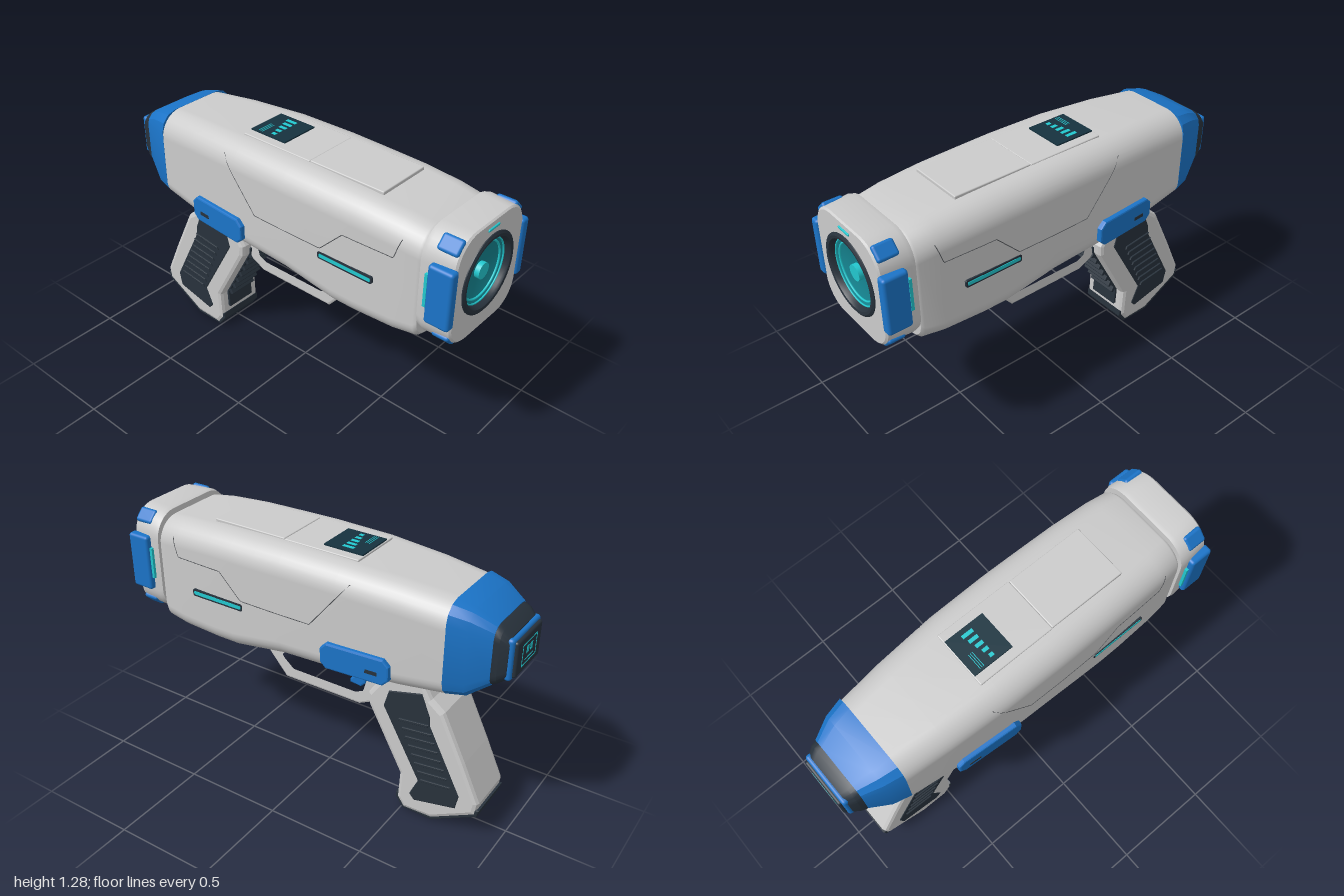
import * as THREE from 'three';
import { toCreasedNormals } from 'three/addons/utils/BufferGeometryUtils.js';
import { RoundedBoxGeometry } from 'three/addons/geometries/RoundedBoxGeometry.js';

const mat = (color) => new THREE.MeshStandardMaterial({ color });
const GREY = mat(0xcccccc), BLUE = mat(0x1b74c8), DARK = mat(0x28323c), TEAL = mat(0x22c8cf);
const DEEP_TEAL = mat(0x15838f), LINE = mat(0x55585c), GLASS = mat(0x16323f);
const V2 = (p) => new THREE.Vector2(p[0], p[1]);

// Body sections, front to back: z, half width, bottom, top
const BODY = [
  [0.825, 0.243, 0.702, 1.222], [0.81, 0.252, 0.688, 1.232], [0.7, 0.262, 0.675, 1.245],
  [0.5, 0.27, 0.67, 1.256], [0.38, 0.272, 0.672, 1.258], [0.24, 0.274, 0.695, 1.26], [0.1, 0.275, 0.718, 1.262],
  [-0.2, 0.27, 0.73, 1.26], [-0.5, 0.25, 0.748, 1.245], [-0.72, 0.228, 0.77, 1.225],
];
const BODY_RT = 0.12, BODY_RB = 0.09;

// Rounded rectangle, counter-clockwise seen from the front
function section([, w, b, t], rt, rb, n) {
  const pts = [];
  [[1, 0, rb, -90], [1, 1, rt, 0], [-1, 1, rt, 90], [-1, 0, rb, 180]].forEach(([s, up, r, deg]) => {
    for (let i = 0; i <= n; i++) {
      const a = THREE.MathUtils.degToRad(deg + (90 * i) / n);
      pts.push([s * (w - r) + r * Math.cos(a), (up ? t - r : b + r) + r * Math.sin(a)]);
    }
  });
  return pts;
}

// Skin over sections from front to back, with caps; holeR opens the front cap
function loft(name, secs, rt, rb, n, material, crease, holeR = 0) {
  const g = new THREE.Group();
  g.name = name;
  const rings = secs.map((s) => section(s, s[4] ?? rt, s[4] ?? rb, n));
  const m = rings[0].length, pos = [], idx = [];
  rings.forEach((r, i) => r.forEach(([x, y]) => pos.push(x, y, secs[i][0])));
  for (let i = 0; i < rings.length - 1; i++)
    for (let j = 0; j < m; j++) {
      const a = i * m + j, b = i * m + (j + 1) % m;
      idx.push(a, a + m, b, b, a + m, b + m);
    }
  let geo = new THREE.BufferGeometry();
  geo.setAttribute('position', new THREE.Float32BufferAttribute(pos, 3));
  geo.setIndex(idx);
  geo.computeVertexNormals();
  if (crease) geo = toCreasedNormals(geo, crease);
  add(g, name + 'Shell', geo, material);
  const front = new THREE.Shape(rings[0].map(V2));
  if (holeR) front.holes.push(new THREE.Path().absarc(0, 0.997, holeR, 0, Math.PI * 2, true));
  add(g, name + 'FrontFace', new THREE.ShapeGeometry(front, 32), material, 0, 0, secs[0][0]);
  const back = new THREE.ShapeGeometry(new THREE.Shape(rings.at(-1).map(([x, y]) => V2([-x, y]))));
  add(g, name + 'BackFace', back.rotateY(Math.PI), material, 0, 0, secs.at(-1)[0]);
  return g;
}

function add(parent, name, geo, material, x = 0, y = 0, z = 0) {
  const mesh = new THREE.Mesh(geo, material);
  mesh.name = name;
  mesh.position.set(x, y, z);
  parent.add(mesh);
  return mesh;
}

// Side-profile plate: points are [z, y], thickness runs along x
function plate(pts, width, bevel = 0, hole) {
  const shape = new THREE.Shape(pts.map(V2));
  if (hole) shape.holes.push(new THREE.Path(hole.map(V2)));
  const depth = width - 2 * bevel;
  return new THREE.ExtrudeGeometry(shape, {
    depth, bevelEnabled: bevel > 0, bevelSize: bevel, bevelThickness: bevel, bevelOffset: -bevel, bevelSegments: 2,
  }).translate(0, 0, -depth / 2).rotateY(-Math.PI / 2);
}
const chamfered = (z0, z1, y0, y1, c) => [[z0 + c, y0], [z1 - c, y0], [z1, y0 + c], [z1, y1 - c],
  [z1 - c, y1], [z0 + c, y1], [z0, y1 - c], [z0, y0 + c]];
const box = (x, y, z) => new THREE.BoxGeometry(x, y, z);
const rbox = (x, y, z, r) => new RoundedBoxGeometry(x, y, z, 3, r);
const lerp = THREE.MathUtils.lerp;

// Half width of the body surface at height y and depth z
function bodyX(y, z) {
  const i = Math.max(1, BODY.findIndex((s) => s[0] <= z));
  const a = BODY[i - 1], b = BODY[i], k = (a[0] - z) / (a[0] - b[0]);
  const d = Math.max(0, y - (lerp(a[3], b[3], k) - BODY_RT));
  return lerp(a[1], b[1], k) - BODY_RT + Math.sqrt(BODY_RT ** 2 - d * d);
}

export function createModel() {
  const model = new THREE.Group();
  model.name = 'toyBlaster';

  // Main shell, front collar and tapered rear
  model.add(loft('body', BODY, BODY_RT, BODY_RB, 8, GREY));
  model.add(loft('frontCollar', [[0.988, 0.238, 0.728, 1.248], [0.98, 0.246, 0.722, 1.254],
    [0.85, 0.26, 0.728, 1.256], [0.828, 0.257, 0.735, 1.25]], 0.13, 0.12, 8, GREY, 0.6, 0.185));
  model.add(loft('rearShell', [[-0.72, 0.229, 0.769, 1.226, 0.09], [-0.81, 0.208, 0.785, 1.206, 0.08],
    [-0.905, 0.165, 0.858, 1.153, 0.06]], 0.08, 0.08, 3, BLUE, 0.4));
  model.add(loft('rearBezel', [[-0.905, 0.164, 0.86, 1.15, 0.06], [-0.93, 0.16, 0.875, 1.138, 0.055],
    [-0.965, 0.142, 0.9, 1.11, 0.05]], 0.05, 0.05, 4, DARK, 0.4));

  // Muzzle lens
  const muzzle = new THREE.Group();
  muzzle.name = 'muzzle';
  muzzle.position.set(0, 0.997, 0);
  model.add(muzzle);
  const turned = (name, pts, m) => add(muzzle, name, toCreasedNormals(
    new THREE.LatheGeometry(pts.map(V2), 48).rotateX(Math.PI / 2), 0.6), m);
  turned('muzzleRing', [[0.155, 0.94], [0.157, 0.985], [0.165, 0.996], [0.178, 0.998], [0.189, 0.992], [0.192, 0.98]].reverse(), DARK);
  turned('lensBowl', [[0.156, 0.966], [0.145, 0.962], [0.12, 0.952], [0, 0.945]], DEEP_TEAL);
  add(muzzle, 'lensOuterRing', new THREE.TorusGeometry(0.152, 0.004, 8, 48), TEAL, 0, 0, 0.968);
  add(muzzle, 'lensInnerRing', new THREE.TorusGeometry(0.134, 0.005, 8, 48), TEAL, 0, 0, 0.96);
  add(muzzle, 'lensCore', new THREE.CylinderGeometry(0.038, 0.038, 0.03, 32).rotateX(Math.PI / 2), TEAL, 0, 0, 0.955);
  add(model, 'frontLight', rbox(0.08, 0.012, 0.012, 0.004), TEAL, 0, 1.219, 0.988);

  // Parts mirrored on both sides
  for (const s of [1, -1]) {
    add(model, 'collarClip', rbox(0.05, 0.285, 0.12, 0.015), BLUE, s * 0.26, 0.995, 0.937);
    add(model, 'collarLight', box(0.02, 0.16, 0.014), TEAL, s * 0.263, 1.0, 0.868);
    add(model, 'upperCornerClip', rbox(0.075, 0.03, 0.1, 0.013), BLUE, s * 0.208, 1.214, 0.93).rotation.z = -s * 0.785;
    add(model, 'lowerCornerClip', rbox(0.075, 0.03, 0.085, 0.013), BLUE, s * 0.21, 0.764, 0.937).rotation.z = s * 0.785;
    add(model, 'sideSlotFrame', plate(chamfered(0.31, 0.608, 0.902, 0.938, 0.006), 0.012), DARK, s * 0.27, 0, 0);
    add(model, 'sideSlotLight', plate(chamfered(0.318, 0.6, 0.911, 0.929, 0.004), 0.014), TEAL, s * 0.271, 0, 0);

    const latch = new THREE.Group();
    latch.name = 'sideLatch';
    latch.position.x = s * 0.282;
    latch.rotation.y = s * 0.07;
    model.add(latch);
    add(latch, 'latchPlate', plate(chamfered(-0.485, -0.14, 0.77, 0.9, 0.03), 0.05, 0.008), BLUE);
    add(latch, 'latchSlot', box(0.004, 0.018, 0.06), DARK, s * 0.025, 0.822, -0.4);

    // Panel seam following the body surface
    const seam = [[0.73, 1.17], [0.7, 1.075], [0.44, 1.075], [0.32, 0.955], [-0.07, 0.955], [-0.27, 1.2]];
    const path = new THREE.CurvePath();
    for (let i = 1; i < seam.length; i++) for (let k = 0; k < 6; k++) {
      const [p, q] = [k / 6, (k + 1) / 6].map((t) => {
        const z = lerp(seam[i - 1][0], seam[i][0], t), y = lerp(seam[i - 1][1], seam[i][1], t);
        return new THREE.Vector3(s * bodyX(y, z), y, z);
      });
      path.add(new THREE.LineCurve3(p, q));
    }
    add(model, 'panelSeam', new THREE.TubeGeometry(path, 120, 0.002, 4), LINE);

    // Grip side pad and its ribs
    add(model, 'gripPad', plate([[-0.39, 0.565], [-0.415, 0.655], [-0.585, 0.7], [-0.63, 0.59], [-0.635, 0.54],
      [-0.805, 0.21], [-0.79, 0.135], [-0.575, 0.085], [-0.548, 0.115], [-0.59, 0.21]], 0.03, 0.005), DARK, s * 0.124);
    for (let i = 0; i < 8; i++) {
      const t = i / 7, z = lerp(-0.47, -0.6, t), y = lerp(0.515, 0.215, t);
      add(model, 'gripRib', plate([[z, y], [z - 0.155, y + 0.02], [z - 0.162, y + 0.036], [z - 0.007, y + 0.016]], 0.012, 0.003),
        DARK, s * 0.141);
    }
  }

  // Top cover and display
  add(model, 'topCover', rbox(0.285, 0.02, 0.4, 0.005), GREY, 0, 1.259, 0.35);
  add(model, 'displayBase', rbox(0.29, 0.016, 0.395, 0.005), GREY, 0, 1.259, -0.0475);
  add(model, 'displayScreen', box(0.2, 0.016, 0.205), GLASS, 0, 1.266, -0.1375);
  for (let i = 0; i < 5; i++) {
    const h = 0.022 + i * 0.009;
    add(model, 'displayBar', box(0.018, 0.004, h), TEAL, -0.07 + i * 0.034, 1.2735, -0.115 - h / 2);
  }
  for (const z of [-0.182, -0.192, -0.202]) add(model, 'displayLine', box(0.08, 0.003, 0.003), TEAL, -0.05, 1.2735, z);

  // Rear display
  add(model, 'rearTrim', rbox(0.275, 0.2, 0.035, 0.015), BLUE, 0, 1.005, -0.966);
  add(model, 'rearScreen', rbox(0.245, 0.172, 0.035, 0.012), DARK, 0, 1.005, -0.981);
  for (const s of [1, -1]) {
    add(model, 'rearFrame', box(0.14, 0.004, 0.003), TEAL, 0, 1.005 + s * 0.05, -0.9985);
    add(model, 'rearFrame', box(0.004, 0.1, 0.003), TEAL, s * 0.07, 1.005, -0.9985);
    add(model, 'rearGauge', box(0.022, 0.034, 0.003), TEAL, s * 0.018, 1.017, -0.9985);
  }
  add(model, 'rearGaugeLine', box(0.08, 0.005, 0.003), TEAL, 0, 0.975, -0.9985);

  // Vents under the nose
  for (let i = 0; i < 4; i++) add(model, 'bottomVent', rbox(0.15, 0.014, 0.018, 0.004), DARK, 0, 0.671, 0.43 + i * 0.04);

  // Trigger guard and trigger
  add(model, 'triggerGuard', plate(
    [[0.33, 0.645], [0.32, 0.595], [0.213, 0.47], [-0.22, 0.47], [-0.31, 0.515], [-0.36, 0.6], [-0.38, 0.75], [0.1, 0.75], [0.19, 0.715]],
    0.15, 0.012, [[0.245, 0.6], [0.235, 0.575], [0.17, 0.52], [-0.2, 0.52], [-0.25, 0.545], [-0.285, 0.675], [0.175, 0.675]]), GREY);
  add(model, 'trigger', plate([[-0.125, 0.69], [-0.19, 0.69], [-0.225, 0.625], [-0.225, 0.565], [-0.2, 0.54],
    [-0.14, 0.545], [-0.14, 0.565], [-0.168, 0.595], [-0.165, 0.64]], 0.07, 0.008), BLUE);

  // Grip, its base and its ridged front strip
  add(model, 'grip', plate([[-0.3, 0.6], [-0.39, 0.735], [-0.585, 0.755], [-0.63, 0.68], [-0.695, 0.63], [-0.81, 0.395],
    [-0.9, 0.2], [-0.89, 0.135], [-0.67, 0.012], [-0.515, 0.007], [-0.478, 0.06], [-0.485, 0.21], [-0.305, 0.54]], 0.27, 0.022), GREY);
  add(model, 'gripBase', plate([[-0.472, 0.09], [-0.47, 0.055], [-0.51, 0], [-0.672, 0], [-0.898, 0.127], [-0.906, 0.165],
    [-0.87, 0.165], [-0.66, 0.05], [-0.54, 0.05]], 0.256, 0.006), DARK);
  add(model, 'frontStrip', plate([[-0.295, 0.575], [-0.297, 0.54], [-0.474, 0.21], [-0.468, 0.115], [-0.52, 0.115],
    [-0.53, 0.21], [-0.36, 0.575]], 0.168, 0.004), DARK);
  for (let i = 0; i < 7; i++) {
    const t = (i + 0.5) / 7.5;
    add(model, 'frontRidge', rbox(0.166, 0.04, 0.02, 0.005), DARK, 0, lerp(0.55, 0.17, t), lerp(-0.295, -0.488, t)).rotation.x = -0.49;
  }
  return model;
}
